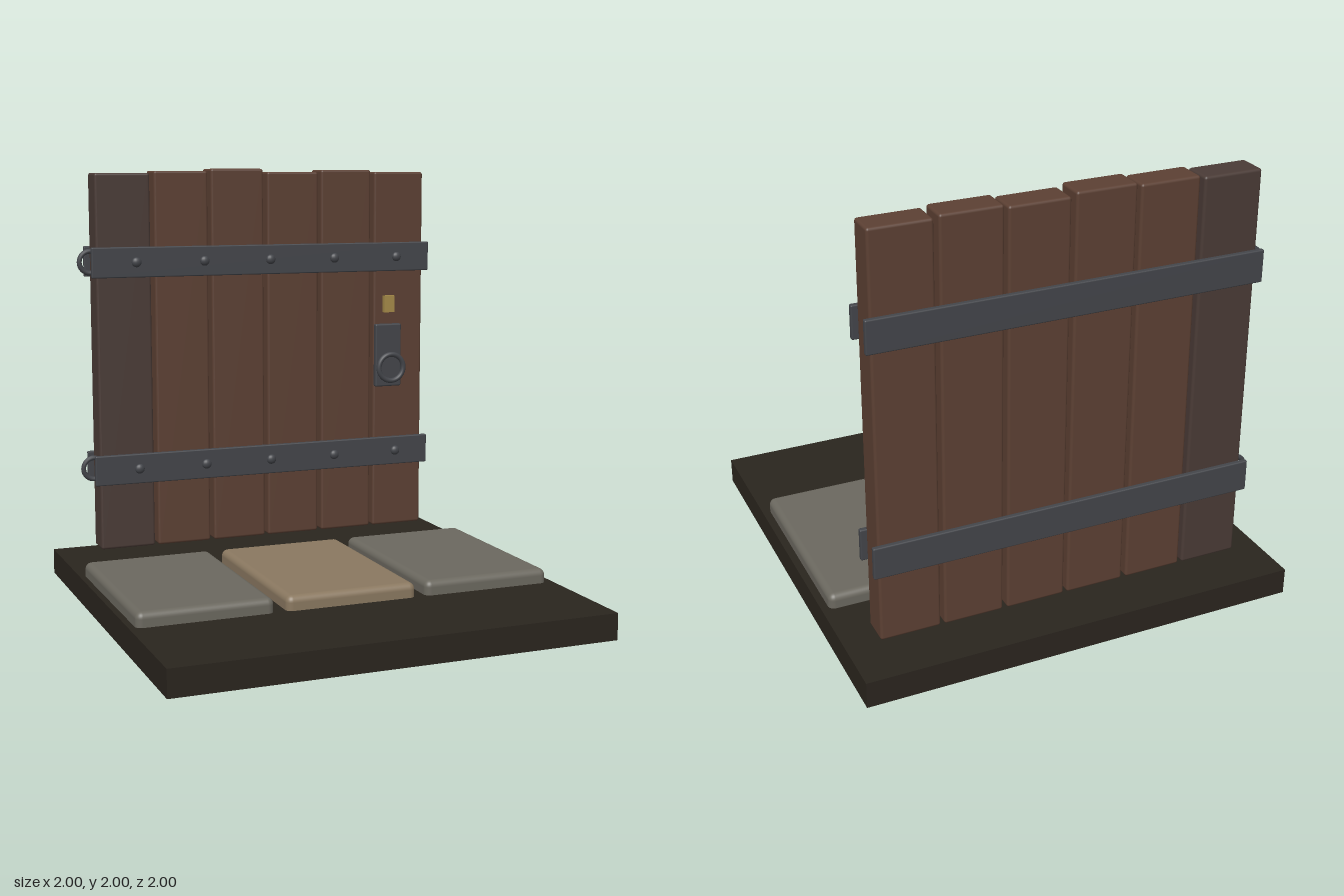
import * as THREE from 'three';
import { RoundedBoxGeometry } from 'three/addons/geometries/RoundedBoxGeometry.js';

const paint = (color) => new THREE.MeshStandardMaterial({ color });

export function createModel() {
  const model = new THREE.Group();
  const wood = paint(0x5c4033);
  const darkWood = paint(0x4a3b36);
  const iron = paint(0x43454a);
  const brass = paint(0xa58a48);
  const greyStone = paint(0x6b685f);
  const tanStone = paint(0x8a7860);
  const soil = paint(0x2a251e);

  function add(name, geometry, material, x, y, z, parent = model) {
    const mesh = new THREE.Mesh(geometry, material);
    mesh.name = name;
    mesh.position.set(x, y, z);
    parent.add(mesh);
    return mesh;
  }

  // Ground slab
  add('ground', new THREE.BoxGeometry(2, 0.12, 2), soil, 0, 0.06, 0);

  // Three paving stones with softened edges, sunk into the ground
  [[-0.667, greyStone, 0.003], [0, tanStone, 0], [0.66, greyStone, -0.003]].forEach(([x, material, turn]) => {
    const stone = add('pavingStone', new RoundedBoxGeometry(0.61, 0.1, 0.915, 4, 0.03), material, x, 0.135, 0.002);
    stone.rotation.y = turn;
  });

  // Door planks of slightly uneven height, each a little askew
  const door = new THREE.Group();
  door.name = 'door';
  model.add(door);
  const tops = [1.98, 1.99, 2.0, 1.985, 1.995, 1.985];
  const tilts = [0.001, -0.001, 0.001, -0.0015, 0.001, -0.0005];
  tops.forEach((top, i) => {
    const bottom = 0.172;
    const plank = add('plank', new RoundedBoxGeometry(0.268, top - bottom, 0.135, 2, 0.012),
      i === 0 ? darkWood : wood, -0.697 + i * 0.2863, (top + bottom) / 2, -0.756, door);
    plank.rotation.z = tilts[i];
  });

  // Iron straps front and back, with hinge rings and rivets
  const strapGeometry = new RoundedBoxGeometry(1.752, 0.145, 0.024, 2, 0.006);
  const hingeGeometry = new THREE.TorusGeometry(0.052, 0.012, 10, 32);
  const rivetGeometry = new THREE.SphereGeometry(0.024, 16, 12);
  for (const y of [0.563, 1.56]) {
    add('frontStrap', strapGeometry, iron, 0.019, y, -0.68, door);
    add('backStrap', strapGeometry, iron, 0.019, y, -0.835, door);
    add('hingeRing', hingeGeometry, iron, -0.843, y, -0.761, door);
    for (let i = 0; i < 5; i++) {
      const rivet = add('rivet', rivetGeometry, iron, -0.64 + i * 0.339, y, -0.668, door);
      rivet.scale.z = 0.7;
    }
  }

  // Handle plate, pull ring and brass lock plate
  add('handlePlate', new RoundedBoxGeometry(0.142, 0.32, 0.03, 2, 0.008), iron, 0.67, 1.06, -0.67, door);
  add('pullRing', new THREE.TorusGeometry(0.067, 0.013, 12, 40), iron, 0.672, 1.0, -0.626, door);
  add('lockPlate', new THREE.BoxGeometry(0.056, 0.085, 0.024), brass, 0.672, 1.322, -0.663, door);

  return model;
}
